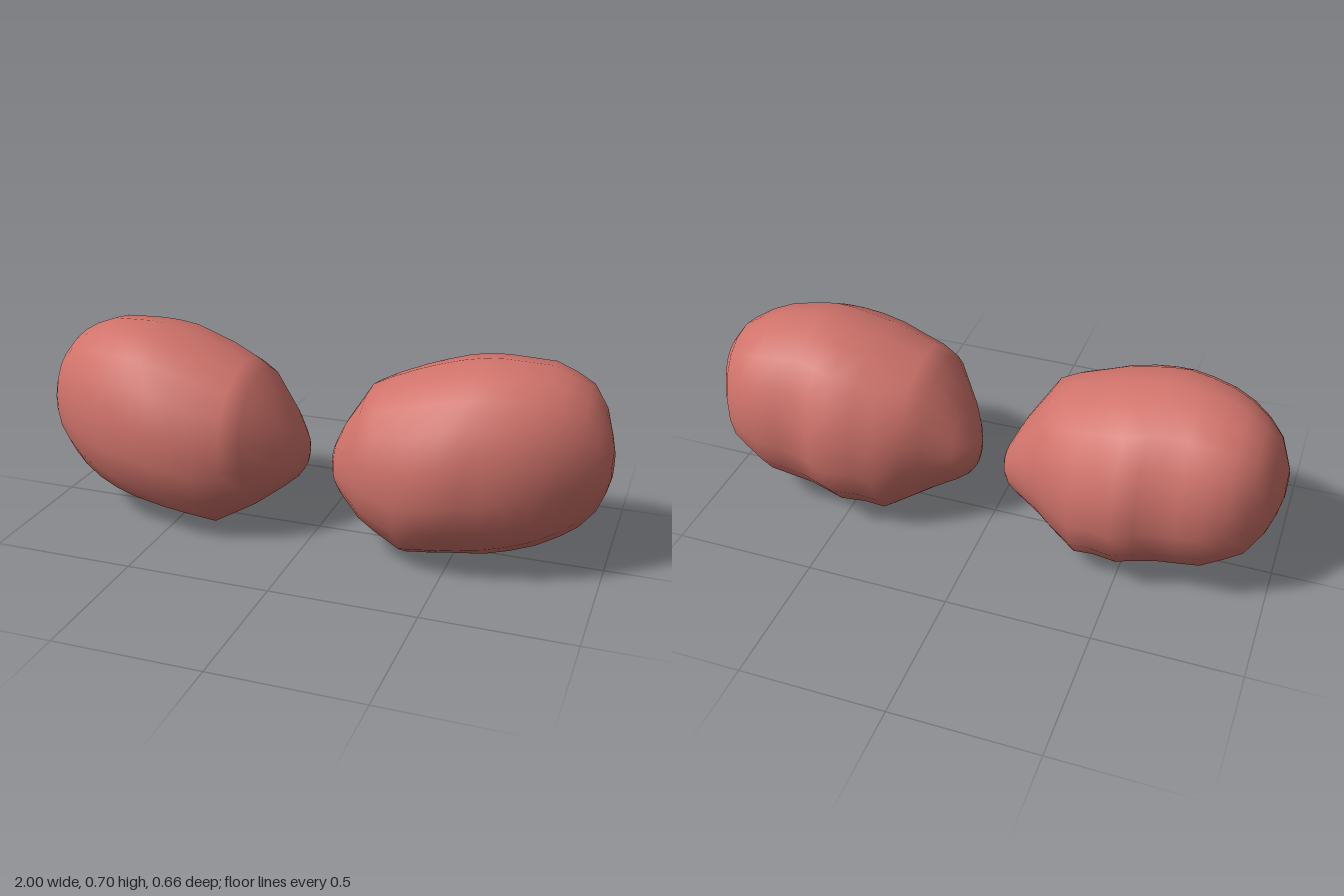
import * as THREE from 'three';

const coral = new THREE.MeshStandardMaterial({ color: 0xd0736b });
coral.name = 'coral';

// Cross-sections from inner to outer end: x, top, bottom, front, back
const SECTIONS = [
  [0.05, 0.30, 0.25, 0.00, -0.05],
  [0.06, 0.33, 0.21, 0.04, -0.08],
  [0.08, 0.37, 0.18, 0.09, -0.11],
  [0.11, 0.43, 0.155, 0.14, -0.14],
  [0.20, 0.57, 0.09, 0.25, -0.20],
  [0.26, 0.60, 0.055, 0.285, -0.245],
  [0.35, 0.635, 0.0, 0.312, -0.295],
  [0.42, 0.66, 0.01, 0.323, -0.305],
  [0.50, 0.68, 0.02, 0.33, -0.335],
  [0.57, 0.695, 0.028, 0.315, -0.312],
  [0.63, 0.70, 0.037, 0.303, -0.295],
  [0.70, 0.695, 0.053, 0.285, -0.295],
  [0.78, 0.687, 0.075, 0.25, -0.295],
  [0.85, 0.66, 0.112, 0.21, -0.262],
  [0.91, 0.625, 0.15, 0.16, -0.23],
  [0.96, 0.56, 0.215, 0.115, -0.15],
  [0.985, 0.48, 0.28, 0.08, -0.09],
  [1.0, 0.43, 0.34, 0.05, -0.03],
];
const SIDES = 18;

// Slightly squared ellipse: |v| to a power just under one
const soft = v => Math.sign(v) * Math.pow(Math.abs(v), 0.94);

function podGeometry(side) {
  const pos = [], index = [];
  const tri = (a, b, c) => (side > 0 ? index.push(a, b, c) : index.push(a, c, b));

  // Rings around x
  for (const [x, top, bottom, front, back] of SECTIONS) {
    for (let j = 0; j < SIDES; j++) {
      const a = (j / SIDES) * Math.PI * 2;
      pos.push(
        side * x,
        (top + bottom) / 2 + soft(Math.cos(a)) * (top - bottom) / 2,
        (front + back) / 2 + soft(Math.sin(a)) * (front - back) / 2
      );
    }
  }

  // Skin between neighbouring rings
  const last = SECTIONS.length - 1;
  for (let i = 0; i < last; i++) {
    for (let j = 0; j < SIDES; j++) {
      const k = (j + 1) % SIDES;
      const p = i * SIDES + j, q = i * SIDES + k;
      tri(p, q, p + SIDES);
      tri(q, q + SIDES, p + SIDES);
    }
  }

  // Close both ends with a fan
  for (const i of [0, last]) {
    const [x, top, bottom, front, back] = SECTIONS[i];
    const centre = pos.length / 3;
    pos.push(side * x, (top + bottom) / 2, (front + back) / 2);
    for (let j = 0; j < SIDES; j++) {
      const p = i * SIDES + j, q = i * SIDES + (j + 1) % SIDES;
      if (i === 0) tri(centre, q, p);
      else tri(centre, p, q);
    }
  }

  const geo = new THREE.BufferGeometry();
  geo.setAttribute('position', new THREE.Float32BufferAttribute(pos, 3));
  geo.setIndex(index);
  geo.computeVertexNormals();
  return geo;
}

export function createModel() {
  const group = new THREE.Group();
  group.name = 'roundedPair';
  for (const [side, name] of [[1, 'leftPod'], [-1, 'rightPod']]) {
    const pod = new THREE.Mesh(podGeometry(side), coral);
    pod.name = name;
    group.add(pod);
  }
  return group;
}
